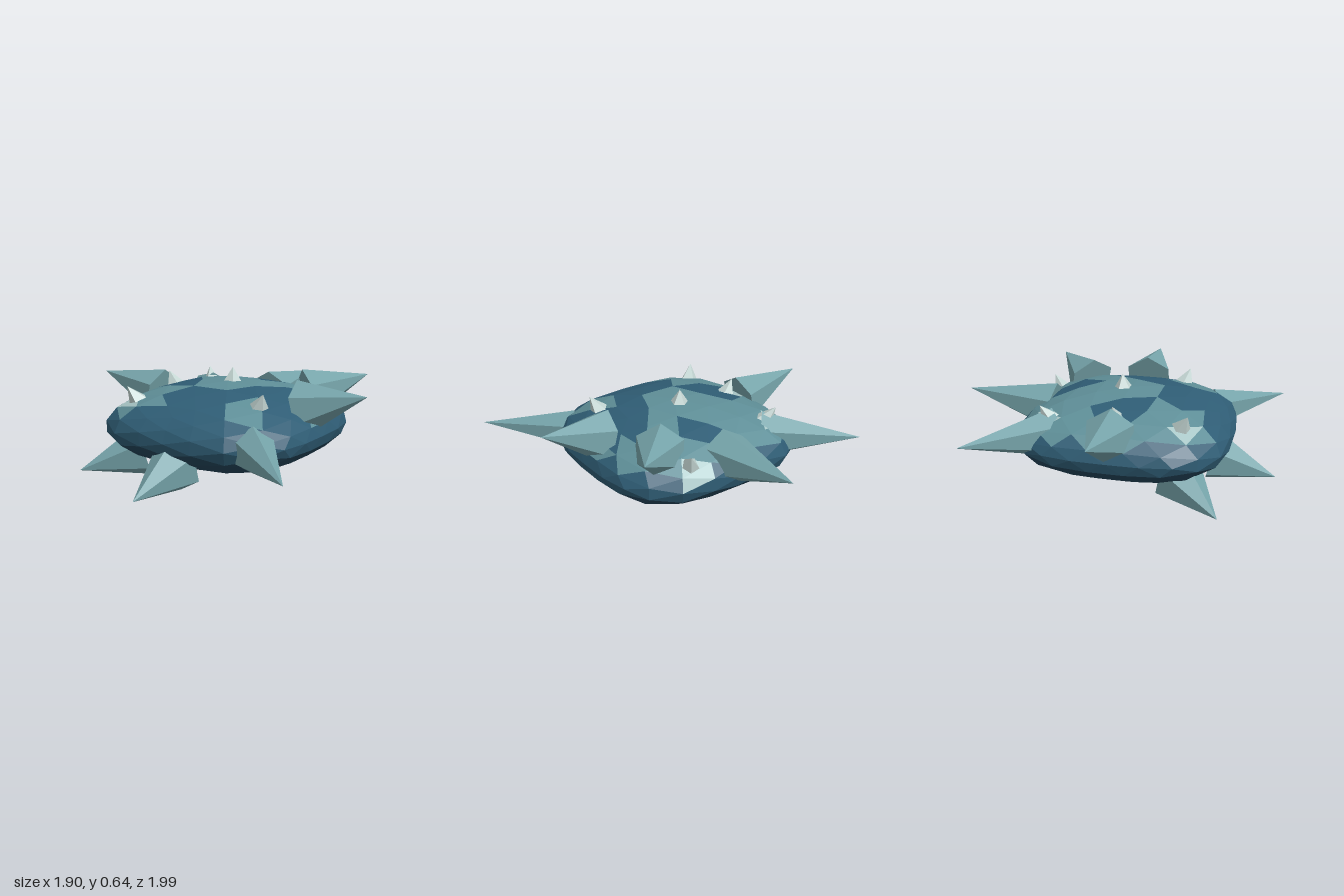
import * as THREE from 'three';

const CENTER = new THREE.Vector3(0.04, 0.315, 0.08);
const mat = (color) => new THREE.MeshStandardMaterial({ color, flatShading: true });

// Stud positions on the shell, in x and z
const STUDS = [[0.04, 0.03], [-0.38, 0.08], [-0.365, 0.48], [0.44, 0.36], [0.33, -0.48], [-0.37, -0.33]];

// Large spikes: base centre, tip, radius
const SPIKES = [
  ['backSpike', [0.04, 0.39, -0.42], [0.04, 0.47, -0.995], 0.16],
  ['frontSpike', [0.04, 0.165, 0.605], [0.04, 0.06, 0.99], 0.16],
  ['leftSpike', [0.555, 0.465, 0.08], [0.95, 0.57, 0.08], 0.16],
  ['rightSpike', [-0.475, 0.43, 0.08], [-0.95, 0.53, 0.08], 0.16],
  ['backLeftSpike', [0.4, 0.465, -0.28], [0.675, 0.575, -0.55], 0.16],
  ['backRightSpike', [-0.34, 0.37, -0.31], [-0.765, 0.39, -0.725], 0.15],
  ['frontLeftSpike', [0.5, 0.31, 0.535], [0.937, 0.31, 0.974], 0.13],
  ['frontRightSpike', [-0.33, 0.16, 0.45], [-0.6, 0.055, 0.72], 0.16],
];

// Distance from the vertical axis measured in a rounded-square norm
const squareNorm = (x, z) => Math.pow(Math.abs(x) ** 3.3 + Math.abs(z) ** 3.3, 1 / 3.3);

// Height of the shell's upper surface at x, z
function shellHeight(x, z) {
  const r = squareNorm(x - CENTER.x, z - CENTER.z) / 0.65;
  return CENTER.y + 0.25 * Math.sqrt(Math.max(0, 1 - r * r));
}

// Faceted sphere flattened and squared off in plan, with patches of colour
function makeShell() {
  const geo = new THREE.IcosahedronGeometry(1, 3);
  const p = geo.attributes.position;
  for (let i = 0; i < p.count; i++) {
    const x = p.getX(i), y = p.getY(i), z = p.getZ(i);
    const k = 0.65 * Math.hypot(x, z) / (squareNorm(x, z) || 1);
    p.setXYZ(i, CENTER.x + x * k, CENTER.y + y * 0.25, CENTER.z + z * k);
  }
  geo.computeVertexNormals();
  for (let i = 0; i < p.count; i += 3) {
    const mean = (a) => (a.call(p, i) + a.call(p, i + 1) + a.call(p, i + 2)) / 3;
    const x = mean(p.getX), y = mean(p.getY), z = mean(p.getZ);
    const nearStud = y > 0.35 && STUDS.some(([sx, sz]) => Math.hypot(x - sx, z - sz) < 0.075);
    const patch = Math.sin(x * 9 + 1) * Math.cos(z * 8 - 0.5) - x * 0.6 - z * 0.9;
    const tone = y < 0.26 ? 0 : nearStud ? 3 : y > 0.4 && patch > -0.25 ? 2 : 1;
    geo.addGroup(i, 3, tone);
  }
  const shell = new THREE.Mesh(geo, [0x23455a, 0x2f5d75, 0x5f8f98, 0xaac8c8].map(mat));
  shell.name = 'shell';
  return shell;
}

// Cone standing on base and pointing at tip, with one corner facing down
function makeCone(name, base, tip, radius, sides, material) {
  const from = new THREE.Vector3(...base), to = new THREE.Vector3(...tip);
  const length = from.distanceTo(to);
  const geo = new THREE.ConeGeometry(radius, length, sides);
  geo.translate(0, length / 2, 0).rotateX(Math.PI / 2);
  const cone = new THREE.Mesh(geo, material);
  cone.position.copy(from);
  cone.lookAt(to);
  cone.name = name;
  return cone;
}

export function createModel() {
  const model = new THREE.Group();
  model.name = 'spikedShell';
  model.add(makeShell());

  const spikeMat = mat(0x75a3a9);
  for (const [name, base, tip, radius] of SPIKES) {
    model.add(makeCone(name, base, tip, radius, 6, spikeMat));
  }

  // Small pale studs leaning slightly outward
  const studMat = mat(0xc4d6d3);
  STUDS.forEach(([x, z], i) => {
    const y = shellHeight(x, z);
    const lean = 0.07;
    const dx = (x - CENTER.x) * lean, dz = (z - CENTER.z) * lean;
    model.add(makeCone('stud' + (i + 1), [x - dx, y - 0.035, z - dz], [x + dx, y + 0.08, z + dz], 0.075, 5, studMat));
  });
  return model;
}
